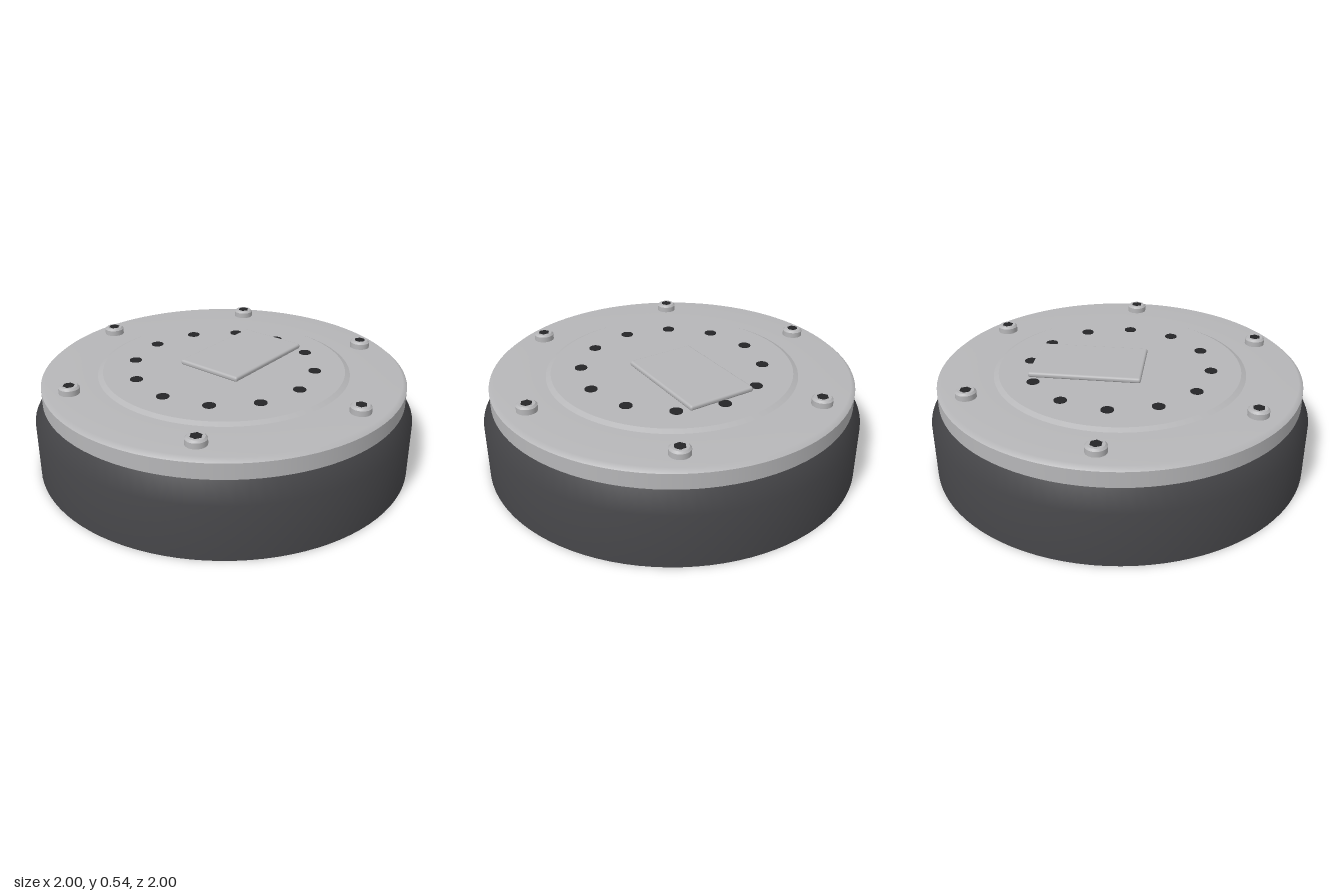
import * as THREE from 'three';
import { RoundedBoxGeometry } from 'three/addons/geometries/RoundedBoxGeometry.js';

const material = (name, color) => {
  const m = new THREE.MeshStandardMaterial({ color });
  m.name = name;
  return m;
};

// Turned part; a point given twice makes a sharp edge.
const turned = (points, sides) =>
  new THREE.LatheGeometry(points.map(([r, y]) => new THREE.Vector2(r, y)), sides);

export function createModel() {
  const model = new THREE.Group();
  model.name = 'roundHousing';
  const rubber = material('dark grey housing', 0x464649);
  const metal = material('light grey metal', 0xb6b6b8);
  const black = material('near black holes', 0x252527);

  const add = (name, geometry, mat, x = 0, y = 0, z = 0) => {
    const mesh = new THREE.Mesh(geometry, mat);
    mesh.name = name;
    mesh.position.set(x, y, z);
    model.add(mesh);
    return mesh;
  };

  // Drum with a tapered shoulder
  add('base', turned([[0, 0], [1, 0], [1, 0], [1, 0.29], [0.94, 0.4], [0.94, 0.4], [0, 0.4]], 96), rubber);

  // Cover ring with a bevelled rim
  add('lid', turned([[0, 0.395], [0.955, 0.395], [0.955, 0.395], [0.955, 0.476], [0.955, 0.476],
    [0.932, 0.495], [0.66, 0.495]], 96), metal);

  // Slightly raised centre disc
  add('centreDisc', turned([[0.665, 0.494], [0.637, 0.508], [0.637, 0.508], [0, 0.51]], 96), metal);

  // Off-centre raised label plate
  add('plate', new RoundedBoxGeometry(0.585, 0.028, 0.375, 3, 0.012), metal, 0.163, 0.521, -0.005);

  // Ring of holes on the centre disc
  const holeGeometry = new THREE.CylinderGeometry(0.033, 0.033, 0.006, 20);
  for (let i = 0; i < 12; i++) {
    const a = (i * Math.PI) / 6;
    add('hole', holeGeometry, black, Math.cos(a) * 0.48, 0.509, Math.sin(a) * 0.48);
  }

  // Six cap screws with dark hexagonal sockets
  const screwGeometry = turned([[0.053, 0.49], [0.053, 0.524], [0.053, 0.524], [0.043, 0.534],
    [0.043, 0.534], [0, 0.534]], 28);
  const socketGeometry = new THREE.CylinderGeometry(0.03, 0.03, 0.006, 6);
  for (let i = 0; i < 6; i++) {
    const a = Math.PI / 2 + (i * Math.PI) / 3;
    const x = Math.cos(a) * 0.825, z = Math.sin(a) * 0.825;
    add('screw', screwGeometry, metal, x, 0, z);
    add('screwSocket', socketGeometry, black, x, 0.533, z);
  }
  return model;
}
